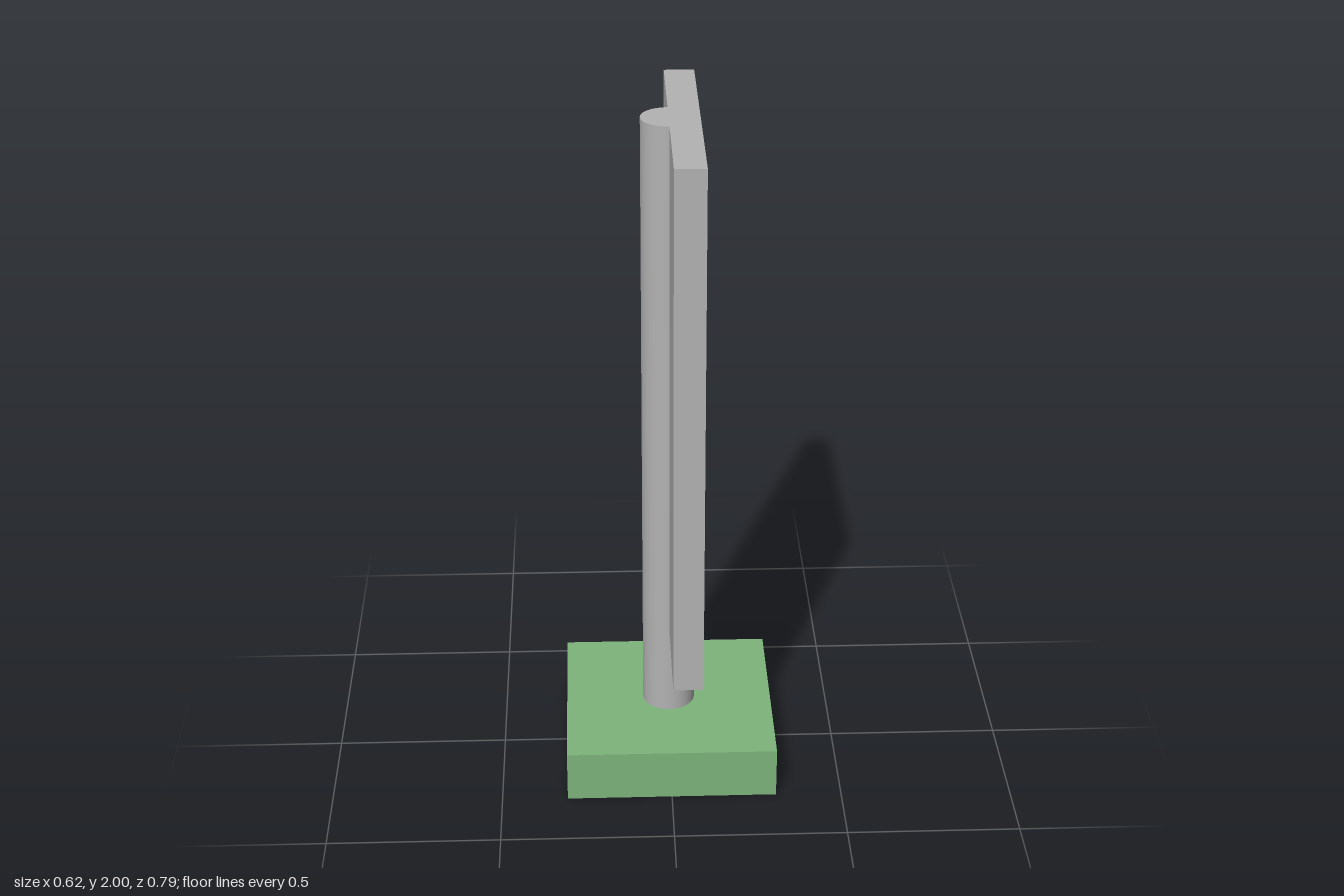
import * as THREE from 'three';

export function createModel() {
  const model = new THREE.Group();
  model.name = 'signPost';

  const green = new THREE.MeshStandardMaterial({ color: 0x7eb47c });
  green.name = 'green';
  const grey = new THREE.MeshStandardMaterial({ color: 0xb3b3b3 });
  grey.name = 'grey';

  const add = (name, geometry, material, x, y, z) => {
    const mesh = new THREE.Mesh(geometry, material);
    mesh.name = name;
    mesh.position.set(x, y, z);
    model.add(mesh);
  };

  const baseSize = 0.615, baseHeight = 0.154;
  const top = 2, panelBottom = 0.43;
  const panelDepth = 0.086, panelWidth = 0.786;
  const poleRadius = 0.077;

  // Square footing on the ground
  add('base', new THREE.BoxGeometry(baseSize, baseHeight, baseSize), green, 0, baseHeight / 2, 0);

  // Round pole rising from the footing to the top of the panel
  const poleHeight = top - baseHeight;
  add('pole', new THREE.CylinderGeometry(poleRadius, poleRadius, poleHeight, 48), grey,
    0, baseHeight + poleHeight / 2, 0);

  // Upright panel covering the left half of the pole
  const panelHeight = top - panelBottom;
  add('panel', new THREE.BoxGeometry(panelDepth, panelHeight, panelWidth), grey,
    panelDepth / 2, panelBottom + panelHeight / 2, 0);

  return model;
}
